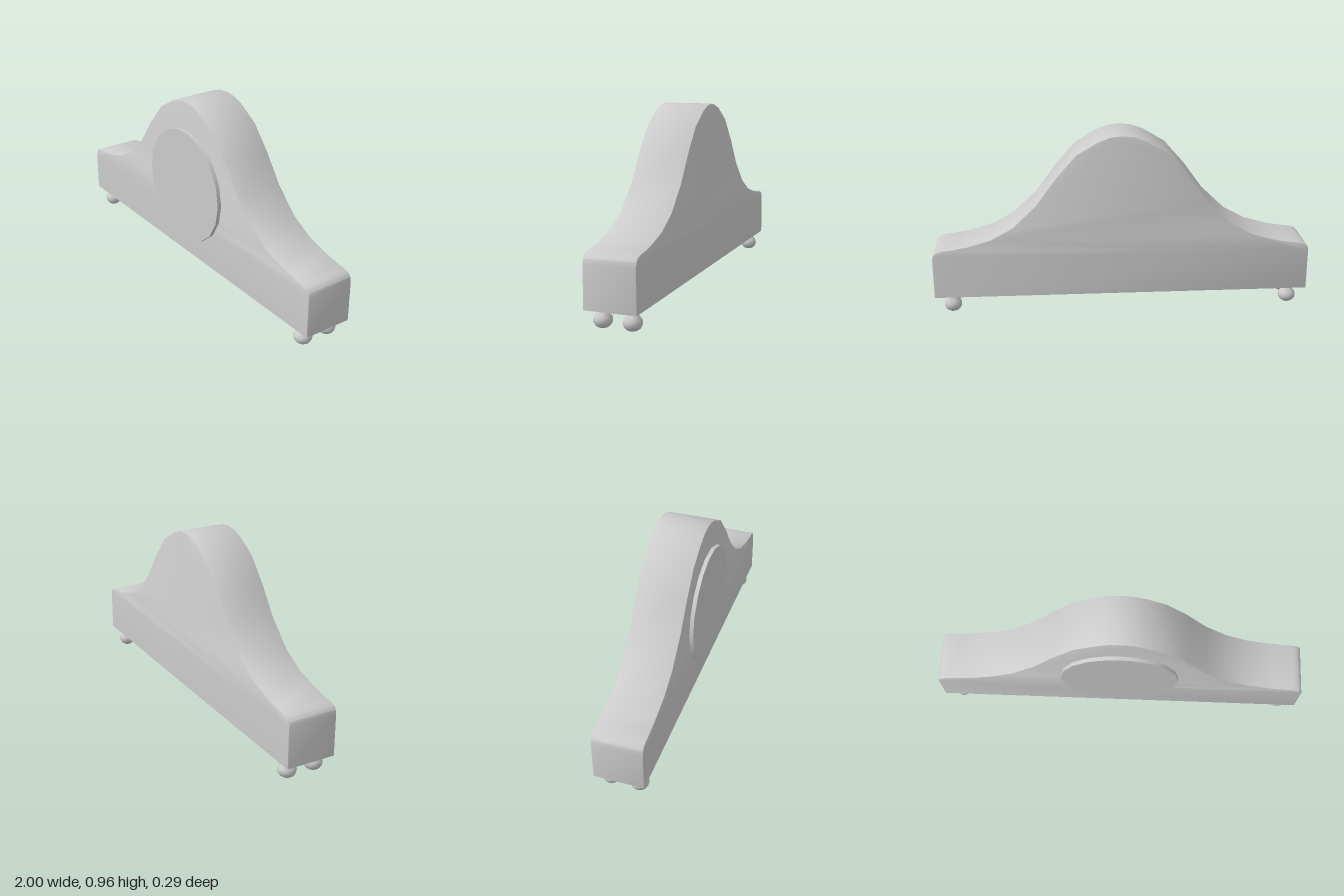
import * as THREE from 'three';
import { toCreasedNormals } from 'three/addons/utils/BufferGeometryUtils.js';

const BASE_Y = 0.095;

export function createModel() {
  const model = new THREE.Group();
  model.name = 'mantelClock';
  const grey = new THREE.MeshStandardMaterial({ color: 0xcccccc });
  const add = (name, geometry, x, y, z) => {
    const mesh = new THREE.Mesh(geometry, grey);
    mesh.name = name;
    mesh.position.set(x, y, z);
    model.add(mesh);
    return mesh;
  };

  // Case: half outline from lower corner to crown, mirrored
  const half = [
    [1, BASE_Y], [1, 0.31], [0.995, 0.333], [0.98, 0.35], [0.95, 0.36], [0.89, 0.367],
    [0.81, 0.382], [0.695, 0.415], [0.575, 0.48], [0.45, 0.6], [0.345, 0.745],
    [0.238, 0.867], [0.125, 0.935], [0.06, 0.958],
  ];
  const mirrored = half.map(([x, y]) => [-x, y]).reverse();
  const outline = [...half, [0, 0.965], ...mirrored].map(([x, y]) => new THREE.Vector2(x, y));
  const bevel = 0.007;
  const caseGeometry = new THREE.ExtrudeGeometry(new THREE.Shape(outline), {
    depth: 0.264 - 2 * bevel, bevelSize: bevel, bevelThickness: bevel,
    bevelOffset: -bevel, bevelSegments: 2,
  });
  // Keep the underside flat and sharp-edged
  const pos = caseGeometry.attributes.position;
  for (let i = 0; i < pos.count; i++) {
    if (pos.getY(i) < BASE_Y + 0.02) pos.setY(i, BASE_Y);
  }
  add('case', toCreasedNormals(caseGeometry, 0.6), 0, 0, -0.142 + bevel);

  // Dial: a raised disc on the front
  const dial = new THREE.CylinderGeometry(0.312, 0.312, 0.026, 18);
  dial.rotateY(Math.PI / 2).rotateX(Math.PI / 2);
  add('dial', dial, 0, 0.498, 0.13);

  // Feet: turned bulbs with a narrow neck
  const footProfile = [
    [0, 0], [0.024, 0], [0.024, 0], [0.036, 0.009], [0.044, 0.022], [0.0465, 0.036], [0.043, 0.05],
    [0.033, 0.064], [0.024, 0.076], [0.019, 0.087], [0.017, 0.1],
  ].filter((p, i) => i !== 2).map(([x, y]) => new THREE.Vector2(x, y));
  const footGeometry = toCreasedNormals(new THREE.LatheGeometry(footProfile, 24), 0.7);
  for (const x of [-0.91, 0.91]) {
    for (const z of [0.065, -0.083]) {
      add(`${z > 0 ? 'front' : 'back'}${x > 0 ? 'Left' : 'Right'}Foot`, footGeometry, x, 0, z);
    }
  }
  return model;
}
